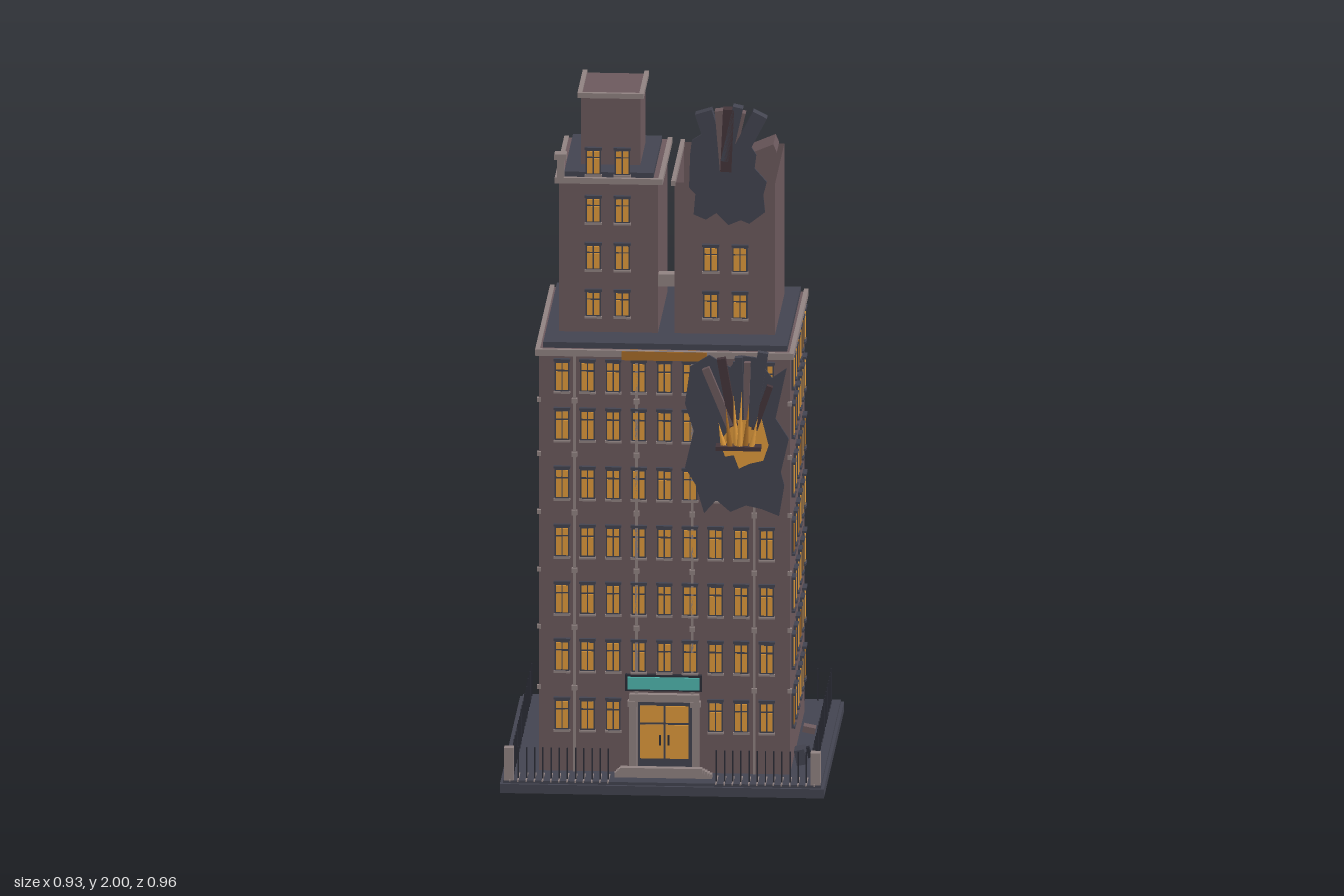
import * as THREE from 'three';

const mat = (name, color, side = THREE.FrontSide) => {
  const m = new THREE.MeshStandardMaterial({ color, side });
  m.name = name;
  return m;
};

export function createModel() {
  const root = new THREE.Group();
  root.name = 'ruinedTower';
  const wall = mat('wallBrown', 0x6c595d, THREE.DoubleSide);
  const trim = mat('trimStone', 0x908281);
  const slate = mat('slate', 0x434450);
  const iron = mat('iron', 0x2b2c36);
  const amber = mat('litAmber', 0xdf9a3c);
  const dimAmber = mat('dimAmber', 0xa66c28);
  const teal = mat('tealSign', 0x50b8b0);
  const char = mat('charredBrown', 0x44353a);

  const add = (name, geo, material, x, y, z, parent = root) => {
    const m = new THREE.Mesh(geo, material);
    m.name = name;
    m.position.set(x, y, z);
    parent.add(m);
    return m;
  };
  // Box given by its limits on each axis
  const box = (name, material, x0, x1, y0, y1, z0, z1, parent = root) =>
    add(name, new THREE.BoxGeometry(x1 - x0, y1 - y0, z1 - z0), material,
      (x0 + x1) / 2, (y0 + y1) / 2, (z0 + z1) / 2, parent);
  const plate = (name, material, pts, z, depth) =>
    add(name, new THREE.ExtrudeGeometry(new THREE.Shape(pts.map(p => new THREE.Vector2(...p))),
      { depth, bevelEnabled: false }), material, 0, 0, z);
  // Box beam between two points in the front plane
  const beam = (name, material, x0, y0, x1, y1, z, width, depth) => {
    const m = add(name, new THREE.BoxGeometry(width, Math.hypot(x1 - x0, y1 - y0), depth), material,
      (x0 + x1) / 2, (y0 + y1) / 2, z);
    m.rotation.z = -Math.atan2(x1 - x0, y1 - y0);
    return m;
  };
  // Stone edge on the two sides and the front of a roof
  const cornice = (name, x0, x1, y0, y1, z0, z1, t = 0.013) => {
    box(name + 'Left', trim, x1 - t, x1, y0, y1, z0, z1);
    box(name + 'Right', trim, x0, x0 + t, y0, y1, z0, z1);
    box(name + 'Front', trim, x0 + t, x1 - t, y0, y1, z1 - t, z1);
  };

  // Plinth
  box('plinth', slate, -0.465, 0.465, 0, 0.027, -0.48, 0.445);
  box('plinthTop', slate, -0.456, 0.456, 0.027, 0.036, -0.471, 0.436);

  // Main block
  box('mainBlock', wall, -0.36, 0.36, 0.036, 1.286, -0.34, 0.325);
  cornice('mainCornice', -0.371, 0.371, 1.272, 1.291, -0.352, 0.333);
  box('mainRoof', slate, -0.35, 0.35, 1.286, 1.303, -0.33, 0.295);

  // Left upper tower with its turret and chimney
  box('upperTower', wall, -0.312, -0.028, 1.3, 1.758, -0.25, 0.18);
  cornice('upperCornice', -0.324, -0.014, 1.745, 1.762, -0.258, 0.187);
  box('upperRoof', slate, -0.298, -0.042, 1.757, 1.773, -0.235, 0.16);
  box('turret', wall, -0.255, -0.085, 1.77, 1.98, -0.153, 0.078);
  cornice('turretCornice', -0.265, -0.075, 1.972, 1.987, -0.16, 0.088);
  box('chimney', trim, -0.318, -0.297, 1.745, 1.815, 0.162, 0.183);
  box('chimneyCap', trim, -0.325, -0.29, 1.815, 1.832, 0.155, 0.19);

  // Right upper tower: a roofless shell with a fallen slab
  const shell = new THREE.Group();
  shell.name = 'brokenTower';
  root.add(shell);
  const shellSide = (w, x, z, r) => {
    add('shellWall', new THREE.PlaneGeometry(w, 0.45), wall, x, 1.527, z, shell).rotation.y = r;
  };
  shellSide(0.288, 0.164, 0.18, 0);
  shellSide(0.288, 0.164, -0.247, Math.PI);
  shellSide(0.427, 0.308, -0.0335, Math.PI / 2);
  shellSide(0.427, 0.02, -0.0335, -Math.PI / 2);
  box('brokenCornice', trim, 0.01, 0.022, 1.742, 1.757, -0.258, 0.182);
  box('bridge', trim, -0.028, 0.084, 1.437, 1.473, 0.128, 0.165);
  const slab = add('fallenSlab', new THREE.BoxGeometry(0.205, 0.026, 0.11), wall, 0.207, 1.787, 0.015);
  slab.rotation.z = 0.4;

  // Window: dark frame, four panes, stone sill and dark head
  const makeWindow = (name, x, y, z, w, h, turned, pane) => {
    const g = new THREE.Group();
    g.name = name;
    g.position.set(x, y, z);
    if (turned) g.rotation.y = Math.PI / 2;
    root.add(g);
    box('frame', slate, -w / 2, w / 2, -h / 2, h / 2, -0.002, 0.006, g);
    const pw = w * 0.36;
    for (const s of [-1, 1]) {
      const c = s * w * 0.225;
      const split = turned ? h * 0.46 : h * 0.16;
      box('lowerPane', pane, c - pw / 2, c + pw / 2, -h * 0.45, split, 0.005, 0.008, g);
      if (!turned) box('upperPane', pane, c - pw / 2, c + pw / 2, h * 0.22, h * 0.44, 0.005, 0.008, g);
    }
    box('head', slate, -w * 0.56, w * 0.56, h / 2, h / 2 + 0.007, 0, 0.012, g);
    box('sill', turned ? slate : trim, -w * 0.56, w * 0.56, -h / 2 - 0.006, -h / 2, 0, 0.011, g);
  };
  const rows = [0.205, 0.38, 0.55, 0.72, 0.893, 1.067, 1.212];
  rows.forEach((y, r) => {
    for (let c = -4; c <= 4; c++) {
      if (r === 0 && Math.abs(c) < 2) continue;
      makeWindow('frontWindow', c * 0.0735, y, 0.325, 0.042, 0.09, false, amber);
    }
    for (let c = 0; c < 6; c++) {
      const dim = (r * 5 + c * 3) % 7 < 2;
      makeWindow('sideWindow', 0.36, y, 0.233 - c * 0.0985, 0.043, 0.092, true, dim ? dimAmber : amber);
    }
  });
  for (const y of [1.388, 1.527, 1.667, 1.81])
    for (const x of [-0.213, -0.13]) makeWindow('towerWindow', x, y, 0.18, 0.044, 0.074, false, amber);
  for (const y of [1.388, 1.527])
    for (const x of [0.124, 0.208]) makeWindow('towerWindow', x, y, 0.18, 0.044, 0.074, false, amber);

  // Front pilasters and floor blocks
  for (const x of [-0.258, -0.08, 0.08, 0.258]) {
    box('pilaster', trim, x - 0.004, x + 0.004, 0.036, 1.275, 0.325, 0.333);
    for (const y of [0.285, 0.465, 0.635, 0.807, 0.98, 1.14])
      box('pilasterBlock', trim, x - 0.008, x + 0.008, y - 0.007, y + 0.007, 0.325, 0.337);
  }
  for (const y of [0.285, 0.465, 0.635, 0.807, 0.98, 1.14])
    for (const s of [-1, 1]) box('cornerBlock', trim, s * 0.36 - 0.006, s * 0.36 + 0.006, y - 0.006, y + 0.006, 0.318, 0.332);

  // Top fascia and sign
  box('fascia', dimAmber, -0.122, 0.122, 1.264, 1.29, 0.315, 0.336);
  box('signFrame', iron, -0.112, 0.108, 0.281, 0.329, 0.325, 0.34);
  box('signFace', teal, -0.105, 0.101, 0.287, 0.323, 0.339, 0.346);

  // Entrance
  box('doorFrame', slate, -0.082, 0.082, 0.036, 0.255, 0.325, 0.333);
  for (const s of [-1, 1]) {
    box('doorLeaf', amber, s * 0.036 - 0.033, s * 0.036 + 0.033, 0.08, 0.18, 0.332, 0.337);
    box('doorLight', amber, s * 0.036 - 0.033, s * 0.036 + 0.033, 0.187, 0.236, 0.332, 0.337);
    box('doorHandle', iron, s * 0.012 - 0.003, s * 0.012 + 0.003, 0.12, 0.15, 0.336, 0.341);
    box('doorColumn', trim, s * 0.09 - 0.01, s * 0.09 + 0.01, 0.036, 0.25, 0.325, 0.346);
    box('columnCap', trim, s * 0.09 - 0.015, s * 0.09 + 0.015, 0.236, 0.252, 0.325, 0.35);
  }
  box('doorLintel', trim, -0.1, 0.1, 0.25, 0.272, 0.325, 0.346);

  // Entrance steps
  for (let i = 0; i < 5; i++) {
    const w = 0.14 - i * 0.0055, y = 0.036 + i * 0.0105, z = 0.364 + i * 0.0232;
    box('step', trim, -w, w, y, y + 0.013, z, z + 0.0232);
  }

  // Fence spikes, corner posts and paving strips
  const spike = (x, z) => add('fenceSpike', new THREE.BoxGeometry(0.004, 0.095, 0.004), iron, x, 0.0835, z);
  for (let i = 0; i < 13; i++)
    for (const s of [-1, 1]) {
      const x = s * (0.155 + i * 0.0235);
      spike(x, 0.42);
      box('pavingStrip', trim, x - 0.002, x + 0.002, 0.034, 0.039, 0.362, 0.444);
    }
  for (let i = 0; i < 22; i++) {
    const z = -0.455 + i * 0.0395;
    for (const s of [-1, 1]) spike(s * 0.43, z);
    if (i > 0) spike(-0.43 + i * 0.0391, -0.455);
  }
  for (const s of [-1, 1]) box('cornerPost', trim, s * 0.44 - 0.014, s * 0.44 + 0.014, 0.036, 0.132, 0.41, 0.438);

  // Upper blast: soot plate and fanned beams
  plate('upperSoot', slate, [[0.065, 1.84], [0.062, 1.74], [0.08, 1.72], [0.075, 1.66], [0.11, 1.645], [0.14, 1.665],
    [0.175, 1.63], [0.21, 1.645], [0.235, 1.635], [0.28, 1.67], [0.275, 1.72], [0.285, 1.76], [0.25, 1.8],
    [0.255, 1.84], [0.23, 1.88], [0.18, 1.84], [0.14, 1.89], [0.1, 1.9], [0.07, 1.88]], 0.181, 0.008);
  const fan = [[0.16, 1.8, 0.105, 1.975, slate, 0.05], [0.165, 1.8, 0.15, 1.98, wall, 0.024],
    [0.17, 1.8, 0.178, 1.985, char, 0.032], [0.175, 1.8, 0.215, 1.975, wall, 0.024], [0.18, 1.8, 0.268, 1.97, slate, 0.045],
    [0.17, 1.83, 0.205, 1.992, slate, 0.03]];
  fan.forEach(([x0, y0, x1, y1, m, w], i) => beam('upperBeam', m, x0, y0, x1, y1, 0.208 + (i % 3) * 0.003, w, 0.036));

  // Lower blast: soot plate, glowing breach, ledge, beams and flames
  plate('lowerSoot', slate, [[0.075, 1.25], [0.06, 1.14], [0.085, 1.06], [0.06, 0.95], [0.09, 0.9], [0.115, 0.815],
    [0.15, 0.855], [0.19, 0.82], [0.235, 0.84], [0.28, 0.83], [0.33, 0.81], [0.345, 0.9], [0.335, 0.94], [0.358, 1.04],
    [0.32, 1.1], [0.352, 1.25], [0.31, 1.22], [0.265, 1.28], [0.22, 1.285], [0.19, 1.25], [0.13, 1.285]], 0.336, 0.008);
  plate('breachGlow', amber, [[0.16, 1.03], [0.175, 0.985], [0.2, 0.99], [0.215, 0.95], [0.245, 0.965], [0.285, 0.975],
    [0.3, 1.02], [0.28, 1.1], [0.25, 1.08], [0.22, 1.12], [0.19, 1.07]], 0.343, 0.004);
  box('ledge', char, 0.15, 0.28, 1.013, 1.025, 0.336, 0.385);
  [[0.19, 1.08, 0.12, 1.25, wall, 0.022], [0.2, 1.08, 0.165, 1.28, char, 0.025], [0.22, 1.1, 0.215, 1.285, slate, 0.022],
    [0.235, 1.1, 0.24, 1.27, wall, 0.018], [0.25, 1.08, 0.285, 1.3, slate, 0.03], [0.26, 1.07, 0.305, 1.2, char, 0.018]]
    .forEach(([x0, y0, x1, y1, m, w]) => beam('lowerBeam', m, x0, y0, x1, y1, 0.353, w, 0.022));
  [[0.165, 0.07, 0.2], [0.185, 0.12, 0.1], [0.205, 0.15, 0.05], [0.222, 0.17, -0.04], [0.24, 0.13, -0.08], [0.262, 0.09, -0.2]]
    .forEach(([x, h, tilt], i) => {
      const f = add('flame', new THREE.ConeGeometry(0.009, h, 5), i % 3 === 1 ? dimAmber : amber,
        x, 1.022 + h / 2, 0.365 + (i % 2) * 0.008);
      f.rotation.z = tilt;
    });

  // Rubble on the plinth
  const rubble = [[0.385, 0.062, 0.212, 0.03, 0.045, 0.055, slate, 0.2], [0.392, 0.055, 0.165, 0.036, 0.03, 0.022, iron, 0.3],
    [0.39, 0.057, -0.085, 0.036, 0.018, 0.035, wall, -0.2]];
  for (const [x, y, z, w, h, d, m, r] of rubble)
    add('rubble', new THREE.BoxGeometry(w, h, d), m, x, y, z).rotation.z = r;

  return root;
}
